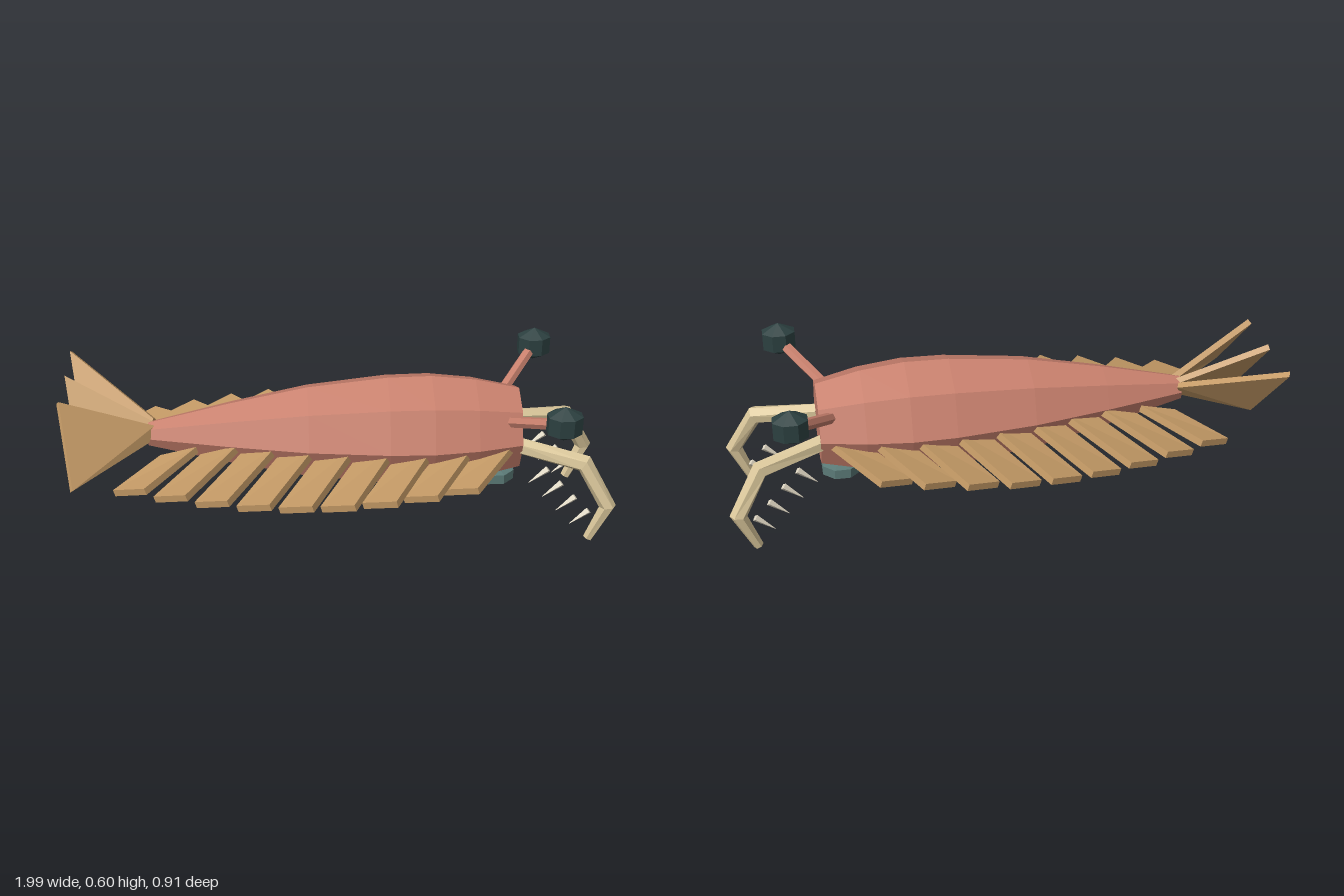
import * as THREE from 'three';

const V = (x, y, z) => new THREE.Vector3(x, y, z);
const mat = (name, color, side = THREE.FrontSide) => new THREE.MeshStandardMaterial({ name, color, side });

// Faceted surface through equal rings (counter-clockwise about the path), capped at both ends
function loft(rings) {
  const pos = [];
  const tri = (...p) => p.forEach(q => pos.push(q.x, q.y, q.z));
  const n = rings[0].length;
  for (let i = 0; i < rings.length - 1; i++) {
    for (let j = 0; j < n; j++) {
      const k = (j + 1) % n;
      const a = rings[i][j], b = rings[i][k], c = rings[i + 1][k], d = rings[i + 1][j];
      tri(a, b, c);
      tri(a, c, d);
    }
  }
  const first = rings[0], last = rings[rings.length - 1];
  for (let j = 1; j < n - 1; j++) {
    tri(first[0], first[j + 1], first[j]);
    tri(last[0], last[j], last[j + 1]);
  }
  const g = new THREE.BufferGeometry();
  g.setAttribute('position', new THREE.Float32BufferAttribute(pos, 3));
  g.computeVertexNormals();
  return g;
}

// Tube with round cross-sections along a path
function limb(points, radii, sides) {
  return loft(points.map((p, i) => {
    const a = points[Math.max(i - 1, 0)], b = points[Math.min(i + 1, points.length - 1)];
    const d = b.clone().sub(a).normalize();
    const u = V(0, 0, 1).cross(d).normalize();
    const v = d.clone().cross(u);
    return Array.from({ length: sides }, (_, j) => {
      const t = (j / sides) * Math.PI * 2;
      return p.clone().addScaledVector(u, radii[i] * Math.cos(t)).addScaledVector(v, radii[i] * Math.sin(t));
    });
  }));
}

// Flat plate with the given outline and thickness
function plate(points, thickness) {
  const n = points[1].clone().sub(points[0]).cross(points[2].clone().sub(points[0])).normalize();
  return loft([-0.5, 0.5].map(s => points.map(p => p.clone().addScaledVector(n, s * thickness))));
}

// Faceted ball, eight sides around and three bands high
function ball(rx, ry, rz) {
  const g = new THREE.SphereGeometry(1, 8, 3).rotateY(Math.PI / 8).scale(rx, ry, rz).toNonIndexed();
  g.computeVertexNormals();
  return g;
}

export function createModel() {
  const model = new THREE.Group();
  model.name = 'swimmingArthropod';
  const shell = mat('shell', 0xc8806d);
  const fin = mat('fin', 0xc49a66);
  const claw = mat('claw', 0xd9c69a);
  const spine = mat('spine', 0xe0d8c4);
  const eye = mat('eye', 0x2c4040);
  const mouth = mat('mouth', 0x5b7a77);
  const add = (name, geometry, material) => {
    const m = new THREE.Mesh(geometry, material);
    m.name = name;
    model.add(m);
    return m;
  };

  // Body: octagonal sections, [x, radius]
  const sections = [[-0.69, 0.045], [-0.39, 0.117], [-0.11, 0.175], [0.18, 0.207],
    [0.34, 0.21], [0.5, 0.192], [0.66, 0.155]];
  add('body', loft(sections.map(([x, r]) => Array.from({ length: 8 }, (_, j) => {
    const t = (j * Math.PI) / 4;
    return V(x, 0.36 + r * Math.cos(t), r * Math.sin(t));
  }))), shell);

  // Mouth under the head
  add('mouth', ball(0.087, 0.036, 0.087), mouth).position.set(0.585, 0.169, 0);

  // Tail fan: three twisted blades
  for (const i of [-1, 0, 1]) {
    const z = i * 0.21;
    add('tailBlade', plate([
      V(-0.67, 0.395, i * 0.03 - 0.018), V(-0.99, 0.55, z - 0.1),
      V(-0.94, 0.305, z + 0.1), V(-0.69, 0.345, i * 0.03 + 0.018),
    ], 0.022), fin);
  }

  for (const s of [1, -1]) {
    // Swept swimming flaps, longest at mid-body
    for (let k = 0; k < 9; k++) {
      const x = -0.685 + k * 0.145;
      const z = 0.31 + 0.145 * Math.sin((Math.PI * k) / 9);
      add('sideFlap', plate([
        V(x + 0.175, 0.348, s * 0.11), V(x, 0.298, s * z),
        V(x - 0.115, 0.264, s * (z - 0.052)), V(x + 0.045, 0.318, s * 0.11),
      ], 0.026), fin);
    }

    // Eyes on stalks
    add('eyeStalk', limb([V(0.61, 0.435, s * 0.11), V(0.765, 0.535, s * 0.325)], [0.021, 0.021], 6), shell);
    add('eye', ball(0.074, 0.065, 0.061), eye).position.set(0.765, 0.539, s * 0.325);

    // Curled grasping arm
    add('graspingArm', limb([
      V(0.65, 0.338, s * 0.11), V(0.88, 0.302, s * 0.192),
      V(0.968, 0.145, s * 0.232), V(0.908, 0.008, s * 0.226),
    ], [0.032, 0.034, 0.031, 0.018], 6), claw);

    // Spines inside the arm's curl
    for (let k = 0; k < 4; k++) {
      const x = 0.75 + k * 0.054, y = 0.28 - k * 0.06;
      add('armSpine', limb([V(x, y, s * 0.187), V(x - 0.068, y - 0.056, s * 0.187)], [0.014, 0.001], 4), spine);
    }
  }
  return model;
}
